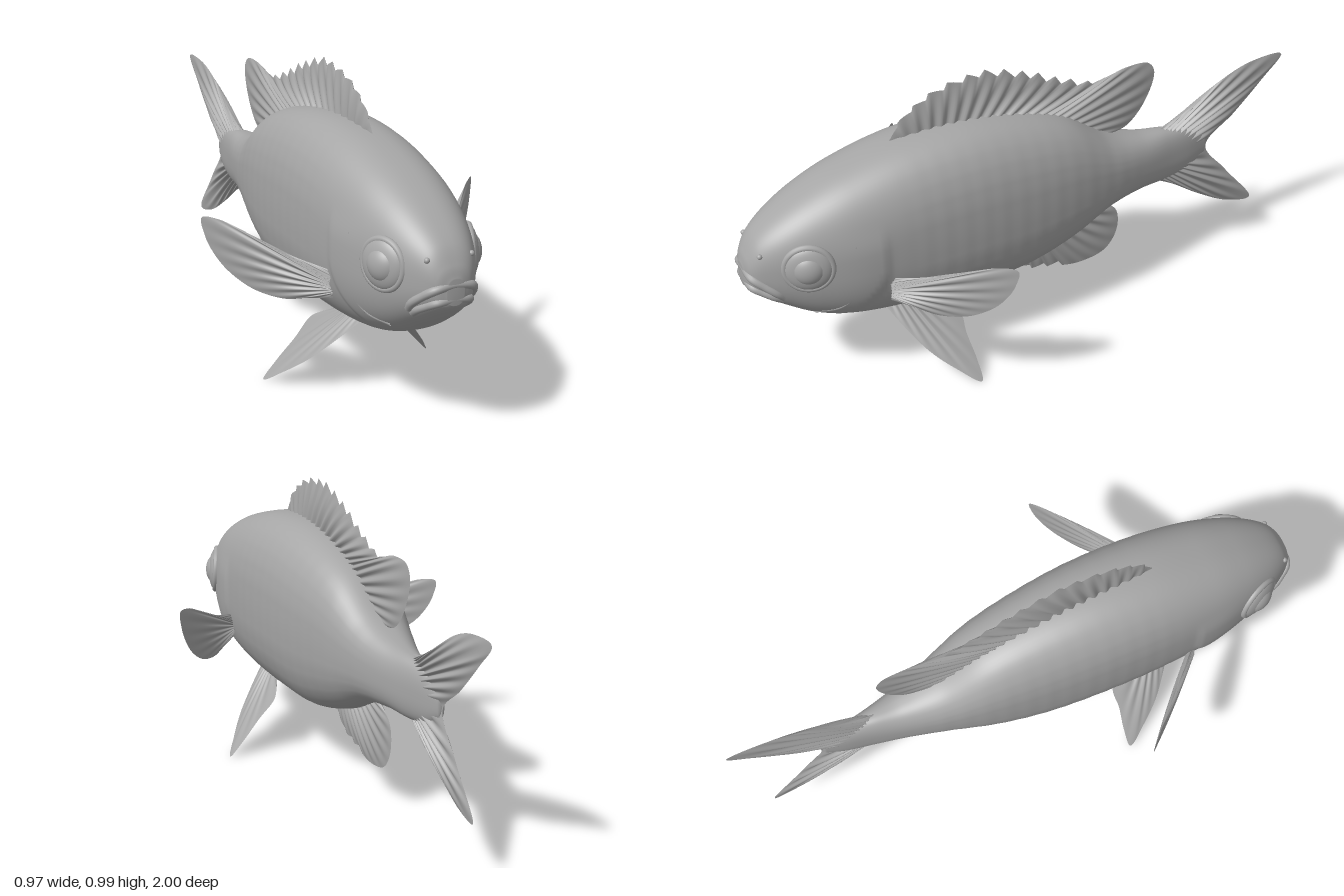
import * as THREE from 'three';

const V = (x, y, z) => new THREE.Vector3(x, y, z);
const step = THREE.MathUtils.smoothstep;
const grey = new THREE.MeshStandardMaterial({ color: 0xa6a6a6, side: THREE.DoubleSide });
grey.name = 'grey';

// Body stations: z, top, bottom, half width
const stations = [
  [0.998, 0.53, 0.45, 0.028], [0.985, 0.57, 0.435, 0.06], [0.95, 0.625, 0.405, 0.092],
  [0.88, 0.68, 0.355, 0.13], [0.78, 0.735, 0.297, 0.164], [0.65, 0.785, 0.258, 0.188],
  [0.46, 0.83, 0.237, 0.2], [0.25, 0.842, 0.232, 0.198], [0.05, 0.815, 0.238, 0.182],
  [-0.13, 0.755, 0.288, 0.155], [-0.29, 0.645, 0.362, 0.115], [-0.42, 0.597, 0.382, 0.078],
  [-0.53, 0.583, 0.382, 0.05], [-0.63, 0.565, 0.4, 0.03], [-0.7, 0.52, 0.44, 0.012],
];
const heights = new THREE.CatmullRomCurve3(stations.map(s => V(s[0], s[1], s[2])), false, 'catmullrom', 0.5);
const widths = new THREE.CatmullRomCurve3(stations.map(s => V(s[0], s[3], 0)), false, 'catmullrom', 0.5);
const POWER = 2.5;

function section(t) {
  const h = heights.getPoint(t);
  return { z: h.x, mid: (h.y + h.z) / 2, half: (h.y - h.z) / 2, w: widths.getPoint(t).y };
}

// Point on the flank of the body at a given z and y
function onBody(z, y, side = 1, out = 0) {
  let a = 0, b = 1;
  for (let i = 0; i < 30; i++) {
    const m = (a + b) / 2;
    if (section(m).z > z) a = m; else b = m;
  }
  const s = section(a);
  const k = Math.min(1, Math.abs(y - s.mid) / s.half);
  return V(side * (s.w * Math.pow(1 - Math.pow(k, POWER), 1 / POWER) + out), y, z);
}

function add(group, name, geometry) {
  const mesh = new THREE.Mesh(geometry, grey);
  mesh.name = name;
  group.add(mesh);
  return mesh;
}

function makeGeometry(pos, idx) {
  const g = new THREE.BufferGeometry();
  g.setAttribute('position', new THREE.Float32BufferAttribute(pos, 3));
  g.setIndex(idx);
  g.computeVertexNormals();
  return g;
}

// Superelliptic loft with faint scales and a raised gill cover
function bodyGeometry() {
  const M = 170, N = 80, pos = [], idx = [];
  const root = e => Math.sign(e) * Math.pow(Math.abs(e), 2 / POWER);
  for (let i = 0; i <= M; i++) {
    const s = section(i / M);
    for (let j = 0; j < N; j++) {
      const a = j / N * Math.PI * 2;
      const x = s.w * root(Math.cos(a)), y = s.mid + s.half * root(Math.sin(a));
      const edge = 0.575 + 3.5 * Math.max(0, 0.5 - y) ** 2;
      const gill = 0.035 * step(s.z, edge - 0.008, edge + 0.012) * (1 - step(s.z, 0.62, 0.82))
        * (1 - step(y, 0.56, 0.66));
      const scaly = step(s.z, -0.45, -0.3) * (1 - step(s.z, 0.4, 0.56));
      const scale = 0.006 * scaly * Math.sin(45 * s.z + 14 * a) * Math.sin(45 * s.z - 14 * a);
      pos.push(x * (1 + gill + scale), y, s.z);
      if (i < M) {
        const k = (j + 1) % N, p = i * N + j, q = i * N + k;
        idx.push(p, p + N, q, q, p + N, q + N);
      }
    }
  }
  const nose = pos.length / 3, end = nose + 1, last = M * N;
  pos.push(0, 0.49, 1, 0, 0.48, -0.71);
  for (let j = 0; j < N; j++) {
    const k = (j + 1) % N;
    idx.push(nose, j, k, end, last + k, last + j);
  }
  return makeGeometry(pos, idx);
}

// Fin lofted from a root line to an outline, with ridged rays and an optional saw edge.
// place(a, b) turns outline coordinates into space; normal is the thickness direction.
function finGeometry(root, tip, place, normal, { thick, rays, teeth = 0, toothEnd = 0, depth = 0.1 }) {
  const curve = pts => new THREE.CatmullRomCurve3(pts.map(p => V(p[0], p[1], 0)));
  const base = curve(root), rim = curve(tip), U = 160, W = 14, pos = [], idx = [];
  for (const side of [1, -1]) {
    const start = pos.length / 3;
    for (let i = 0; i <= U; i++) {
      const u = i / U, r = base.getPoint(u), t = rim.getPointAt(u);
      if (teeth && u < toothEnd) t.lerp(r, depth * ((u / toothEnd * teeth) % 1));
      const ridge = 0.75 + 0.25 * Math.cos(u * rays * Math.PI * 2);
      for (let j = 0; j <= W; j++) {
        const v = j / W, p = r.clone().lerp(t, v);
        const half = thick * (1 - v ** 2.5) * Math.pow(Math.max(0, Math.sin(Math.PI * u)), 0.5) * ridge;
        pos.push(...place(p.x, p.y).addScaledVector(normal, side * half).toArray());
        if (i < U && j < W) {
          const a = start + i * (W + 1) + j, b = a + W + 1;
          if (side > 0) idx.push(a, a + 1, b, b, a + 1, b + 1);
          else idx.push(a, b, a + 1, b, b + 1, a + 1);
        }
      }
    }
  }
  return makeGeometry(pos, idx);
}

export function createModel() {
  const fish = new THREE.Group();
  fish.name = 'fish';
  add(fish, 'body', bodyGeometry());

  // Fins on the centre line, drawn in z and y
  const median = (z, y) => V(0, y, z), X = V(1, 0, 0);
  add(fish, 'dorsalFin', finGeometry(
    [[0.46, 0.81], [0.25, 0.82], [0.05, 0.79], [-0.13, 0.73], [-0.28, 0.62]],
    [[0.48, 0.825], [0.436, 0.9], [0.356, 0.955], [0.276, 0.985], [0.16, 0.998], [0.035, 0.97],
      [-0.07, 0.925], [-0.19, 0.87], [-0.285, 0.845], [-0.37, 0.865], [-0.46, 0.86], [-0.485, 0.82],
      [-0.45, 0.71], [-0.38, 0.635], [-0.285, 0.62]],
    median, X, { thick: 0.026, rays: 22, teeth: 13, toothEnd: 0.62, depth: 0.16 }));
  add(fish, 'analFin', finGeometry(
    [[0.06, 0.26], [-0.1, 0.3], [-0.27, 0.37]],
    [[0.07, 0.235], [-0.01, 0.165], [-0.1, 0.142], [-0.21, 0.122], [-0.315, 0.145], [-0.36, 0.215],
      [-0.355, 0.3], [-0.3, 0.345], [-0.26, 0.36]],
    median, X, { thick: 0.018, rays: 12, teeth: 4, toothEnd: 0.35, depth: 0.15 }));
  add(fish, 'tailFin', finGeometry(
    [[-0.5, 0.575], [-0.54, 0.52], [-0.54, 0.45], [-0.5, 0.39]],
    [[-0.5, 0.583], [-0.57, 0.603], [-0.66, 0.65], [-0.77, 0.72], [-0.88, 0.757], [-1, 0.755],
      [-0.93, 0.675], [-0.82, 0.565], [-0.71, 0.465], [-0.8, 0.335], [-0.915, 0.18], [-0.82, 0.195],
      [-0.69, 0.265], [-0.58, 0.34], [-0.5, 0.382]],
    median, X, { thick: 0.03, rays: 18 }));

  for (const side of [1, -1]) {
    const label = side > 0 ? 'left' : 'right';

    // Pectoral fin sweeps out and back
    add(fish, label + 'PectoralFin', finGeometry(
      [[0.18, 0.435], [0.185, 0.4], [0.18, 0.365]],
      [[0.19, 0.445], [0.3, 0.487], [0.38, 0.535], [0.44, 0.565], [0.48, 0.567], [0.475, 0.51],
        [0.455, 0.455], [0.42, 0.4], [0.36, 0.35], [0.29, 0.332], [0.24, 0.343], [0.18, 0.355]],
      (x, y) => V(side * x, y, 0.75 - x), V(side * 0.7, 0, 0.7), { thick: 0.014, rays: 12 }));

    // Pelvic fin splays down and out
    add(fish, label + 'PelvicFin', finGeometry(
      [[0.54, 0.26], [0.48, 0.265], [0.43, 0.26]],
      [[0.55, 0.25], [0.505, 0.18], [0.45, 0.11], [0.38, 0.05], [0.31, 0.005], [0.305, 0.06],
        [0.312, 0.13], [0.31, 0.19], [0.36, 0.225], [0.42, 0.255]],
      (z, y) => V(side * (0.08 + (0.245 - y) * 0.9), y, z), V(side * 0.74, 0.67, 0),
      { thick: 0.01, rays: 8 }));

    // Eye: socket rim, ball and raised lens
    const eye = new THREE.Group();
    eye.name = label + 'Eye';
    eye.position.copy(onBody(0.825, 0.543, side, -0.006));
    eye.lookAt(eye.position.clone().add(V(side * 0.9, 0.05, 0.36)));
    add(eye, 'socketRim', new THREE.TorusGeometry(0.075, 0.011, 12, 48));
    add(eye, 'eyeball', new THREE.SphereGeometry(0.077, 40, 24)).scale.z = 0.36;
    add(eye, 'lens', new THREE.SphereGeometry(0.055, 40, 24)).scale.z = 0.68;
    fish.add(eye);

    // Nostril and the bony ridge in front of the gill
    add(fish, label + 'Nostril', new THREE.SphereGeometry(0.009, 16, 12))
      .position.copy(onBody(0.955, 0.585, side));
    const ridge = [[0.68, 0.6], [0.665, 0.5], [0.68, 0.42], [0.73, 0.36], [0.8, 0.34]];
    add(fish, label + 'CheekRidge', new THREE.TubeGeometry(
      new THREE.CatmullRomCurve3(ridge.map(([z, y]) => onBody(z, y, side, -0.003))), 40, 0.007, 8));
  }

  // Lips arch across the snout
  const lip = (name, pts, centre, radius) => {
    const half = s => pts.map(([z, y], i) => onBody(z, y, s, i ? -0.004 : -0.012));
    const path = new THREE.CatmullRomCurve3([...half(1), centre, ...half(-1).reverse()]);
    add(fish, name, new THREE.TubeGeometry(path, 60, radius, 12));
  };
  lip('upperLip', [[0.895, 0.425], [0.92, 0.45], [0.95, 0.475], [0.982, 0.5]], V(0, 0.51, 0.986), 0.014);
  lip('lowerLip', [[0.9, 0.41], [0.925, 0.427], [0.955, 0.445], [0.982, 0.46]], V(0, 0.466, 0.986), 0.013);
  return fish;
}
